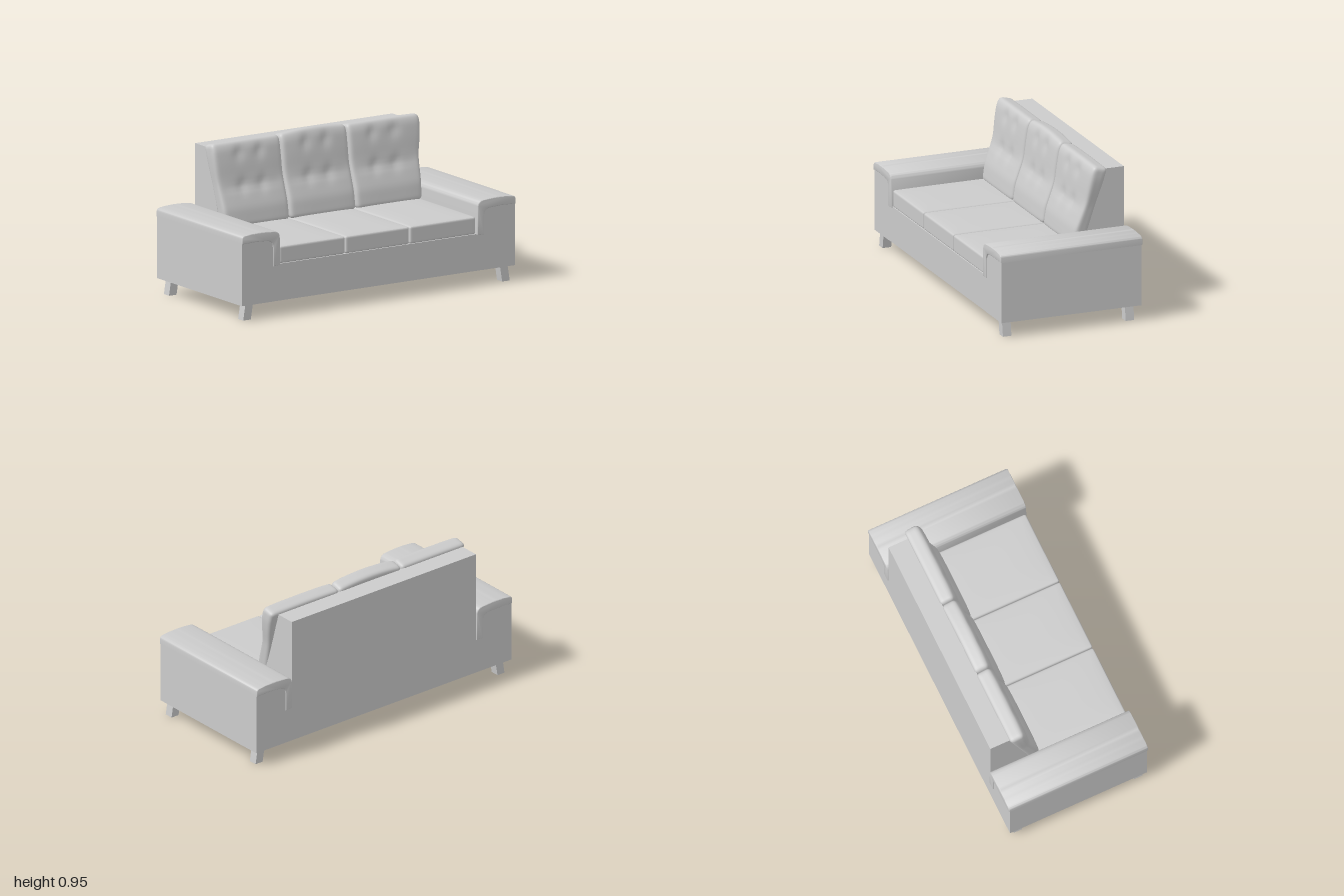
import * as THREE from 'three';
import { mergeVertices, toCreasedNormals } from 'three/addons/utils/BufferGeometryUtils.js';

const material = new THREE.MeshStandardMaterial({ color: 0xcccccc });

function add(group, name, geometry) {
  const mesh = new THREE.Mesh(geometry, material);
  mesh.name = name;
  group.add(mesh);
  return mesh;
}

// Box given by its limits on each axis
function boxBetween(x0, x1, y0, y1, z0, z1) {
  return new THREE.BoxGeometry(x1 - x0, y1 - y0, z1 - z0)
    .translate((x0 + x1) / 2, (y0 + y1) / 2, (z0 + z1) / 2);
}

// Piecewise-linear lookup in [[t, value], ...], lightly smoothed
function lookup(table, t) {
  const raw = (s) => {
    if (s <= table[0][0]) return table[0][1];
    for (let i = 1; i < table.length; i++) {
      const [a, va] = table[i - 1], [b, vb] = table[i];
      if (s <= b) return va + (vb - va) * (s - a) / (b - a);
    }
    return table[table.length - 1][1];
  };
  return (raw(t - 0.04) + 2 * raw(t) + raw(t + 0.04)) / 4;
}

// Finely divided rounded box, w x h x d, each vertex then passed through a rule
function softBox(w, h, d, r, rule) {
  const geo = new THREE.BoxGeometry(1, 1, 1, 32, 32, 12);
  geo.deleteAttribute('normal');
  geo.deleteAttribute('uv');
  const size = new THREE.Vector3(w, h, d).multiplyScalar(0.5);
  const inner = size.clone().subScalar(r);
  const pos = geo.attributes.position;
  const p = new THREE.Vector3(), core = new THREE.Vector3();
  for (let i = 0; i < pos.count; i++) {
    p.fromBufferAttribute(pos, i);
    // crowd the grid lines toward the edges
    p.set(...p.toArray().map((c) => Math.sin(c * Math.PI))).multiply(size);
    core.copy(p).clamp(inner.clone().negate(), inner);
    p.sub(core);
    if (p.lengthSq() > 1e-12) p.setLength(r);
    p.add(core);
    rule(p, p.x / size.x, p.y / size.y, p.z / size.z);
    pos.setXYZ(i, p.x, p.y, p.z);
  }
  const merged = mergeVertices(geo, 1e-5);
  merged.computeVertexNormals();
  return merged;
}

function seatCushion(x0, x1) {
  return softBox(x1 - x0 - 0.004, 0.108, 0.70, 0.013, (p, u, v, w) => {
    if (v > 0) p.y += 0.009 * v * (1 - u ** 4) * (1 - w ** 4);
    p.x += (x0 + x1) / 2;
    p.y += 0.378;
    p.z += 0.107;
  });
}

// Side profile of the back cushions: z against height fraction
const cushionFront = [[0, -0.125], [0.22, -0.142], [0.4, -0.175], [0.55, -0.2], [0.75, -0.213], [0.92, -0.228], [1, -0.25]];
const cushionRear = [[0, -0.2], [0.25, -0.235], [1, -0.338]];
const cushionFlare = [[0, 0], [0.25, 0.2], [0.5, 0.42], [0.7, 0.8], [0.85, 1], [1, 1]];

function backCushion(x0, x1, flareLeft, flareRight, crown) {
  const w = x1 - x0 - 0.006;
  return softBox(w, 0.505, 0.1, 0.026, (p, u, v, f) => {
    const t = (v + 1) / 2, k = (f + 1) / 2;
    const flare = lookup(cushionFlare, t);
    const rear = lookup(cushionRear, t), front = lookup(cushionFront, t);
    // buttoned folds and dimples pressed into the front
    let dent = 0.007 * Math.exp(-(((t - 0.47) / 0.045) ** 2)) * (1 - u ** 4);
    for (const c of [-0.3, 0.3]) {
      for (const row of [0.47, 0.86]) {
        dent += 0.011 * Math.exp(-(((u - c) / 0.13) ** 2) - ((t - row) / 0.08) ** 2);
      }
    }
    const puff = 0.007 * (1 - u ** 4);
    p.x += (x0 + x1) / 2 + flare * (u > 0 ? u * flareRight : u * flareLeft);
    p.y = 0.428 + p.y + 0.2525 + t ** 4 * (0.022 * k - 0.017 + crown * (1 - u * u));
    p.z = rear + (front - rear) * k + k * k * (puff - dent);
  });
}

// Padded arm cover, bent down over the inner side
function armPad(side) {
  const s = new THREE.Shape();
  s.moveTo(0.995, 0.485);
  s.lineTo(0.995, 0.512);
  s.quadraticCurveTo(0.994, 0.526, 0.97, 0.529);
  s.quadraticCurveTo(0.87, 0.541, 0.765, 0.529);
  s.quadraticCurveTo(0.729, 0.525, 0.727, 0.49);
  s.lineTo(0.725, 0.323);
  s.lineTo(0.766, 0.321);
  s.lineTo(0.766, 0.43);
  s.quadraticCurveTo(0.767, 0.476, 0.81, 0.484);
  s.lineTo(0.9, 0.488);
  s.closePath();
  const geo = new THREE.ExtrudeGeometry(s, {
    depth: 0.92, curveSegments: 10, bevelEnabled: true,
    bevelSize: 0.005, bevelThickness: 0.007, bevelSegments: 3,
  }).translate(0, 0, -0.46);
  if (side < 0) geo.rotateY(Math.PI);
  return toCreasedNormals(geo, 0.7);
}

// Square leg, splayed outward toward the floor
function leg(side, z) {
  const geo = new THREE.BoxGeometry(0.055, 0.1, 0.056);
  const pos = geo.attributes.position;
  for (let i = 0; i < pos.count; i++) {
    const low = pos.getY(i) < 0;
    pos.setX(i, pos.getX(i) + side * (low ? 0.946 : 0.93));
  }
  geo.translate(0, 0.05, z);
  geo.computeVertexNormals();
  return geo;
}

export function createModel() {
  const sofa = new THREE.Group();
  sofa.name = 'sofa';

  // Body
  add(sofa, 'seatBase', boxBetween(-0.765, 0.765, 0.096, 0.325, -0.46, 0.458));

  // Backrest with a sloping front, extruded across the width
  const backShape = new THREE.Shape([
    [0.46, 0.096], [0.46, 0.9], [0.325, 0.9], [0.19, 0.43], [0.19, 0.096],
  ].map(([x, y]) => new THREE.Vector2(x, y)));
  const back = new THREE.ExtrudeGeometry(backShape, { depth: 1.44, bevelEnabled: false });
  back.translate(0, 0, -0.72).rotateY(Math.PI / 2);
  add(sofa, 'backrest', back);

  // Arms, covers and legs
  for (const side of [1, -1]) {
    const label = side > 0 ? 'left' : 'right';
    const [a, b] = side > 0 ? [0.765, 0.998] : [-0.998, -0.765];
    add(sofa, label + 'Arm', boxBetween(a, b, 0.096, 0.488, -0.46, 0.46));
    add(sofa, label + 'ArmPad', armPad(side));
    add(sofa, label + 'FrontLeg', leg(side, 0.412));
    add(sofa, label + 'BackLeg', leg(side, -0.395));
  }

  // Seat cushions
  const seams = [-0.722, -0.238, 0.232, 0.718];
  for (let i = 0; i < 3; i++) add(sofa, 'seatCushion' + (i + 1), seatCushion(seams[i], seams[i + 1]));

  // Back cushions, the outer ones widening toward the top
  add(sofa, 'backCushionRight', backCushion(-0.722, -0.245, 0.025, 0, 0.002));
  add(sofa, 'backCushionMiddle', backCushion(-0.245, 0.24, 0.003, 0.003, 0.018));
  add(sofa, 'backCushionLeft', backCushion(0.24, 0.722, 0, 0.055, 0.004));

  return sofa;
}
